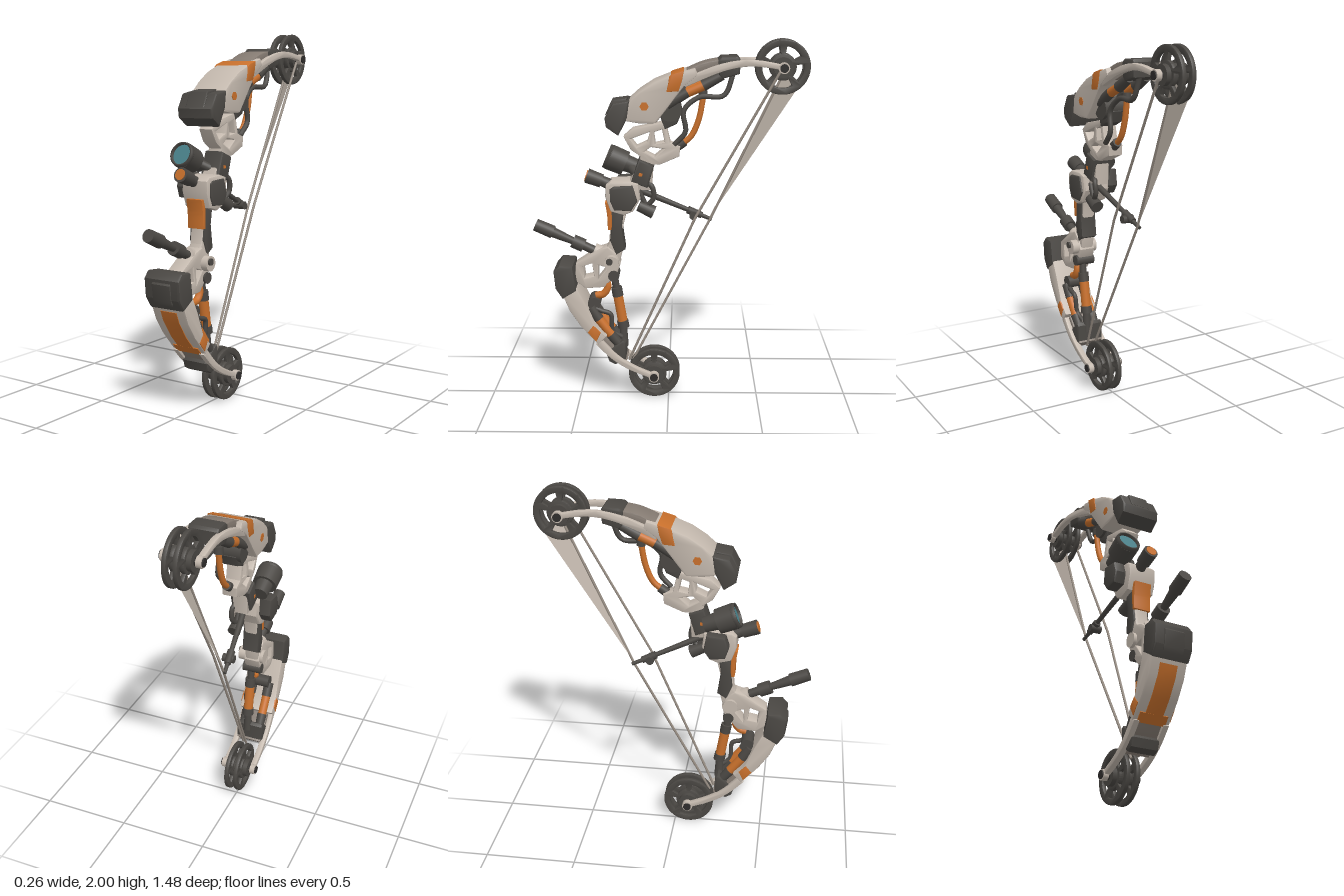
import * as THREE from 'three';
import { toCreasedNormals } from 'three/addons/utils/BufferGeometryUtils.js';

const mat = (name, color, opts = {}) => Object.assign(new THREE.MeshStandardMaterial({ color, ...opts }), { name });

export function createModel() {
  const light = mat('warm light grey', 0xc4b9ae, { side: THREE.DoubleSide });
  const dark = mat('charcoal', 0x4b4844);
  const orange = mat('orange', 0xc8702c);
  const limb = mat('limb brown grey', 0x857b72);
  const teal = mat('lens teal', 0x4a828b);
  const black = mat('axle black', 0x2f2d2c);
  const cord = mat('cord grey', 0x968c82);

  const bow = new THREE.Group();
  bow.name = 'compoundBow';
  const C = 0.0155; // middle plane of the bow in x

  const add = (name, geo, m) => {
    const mesh = new THREE.Mesh(geo, m);
    mesh.name = name;
    bow.add(mesh);
    return mesh;
  };
  const v = (x, y, z) => new THREE.Vector3(x, y, z);
  const v2 = pts => pts.map(p => new THREE.Vector2(p[0], p[1]));

  // Side profile of [z, y] points, extruded across x about centre cx
  const side = (name, pts, width, m, { cx = C, bevel = 0.012, holes = [] } = {}) => {
    const shape = new THREE.Shape(v2(pts));
    for (const h of holes) shape.holes.push(new THREE.Path(v2(h)));
    const geo = new THREE.ExtrudeGeometry(shape, {
      depth: width - 2 * bevel, bevelEnabled: bevel > 0, bevelThickness: bevel,
      bevelSize: bevel, bevelOffset: -bevel, bevelSegments: 2, curveSegments: 10,
    });
    geo.translate(0, 0, -(width - 2 * bevel) / 2);
    geo.rotateY(-Math.PI / 2);
    geo.translate(cx, 0, 0);
    return add(name, toCreasedNormals(geo, 0.6), m);
  };

  // Profile of a bent strip that follows [z, y] points with thickness t0 to t1
  const strip = (pts, t0, t1, n = 12) => {
    const curve = new THREE.SplineCurve(v2(pts)), a = [], b = [];
    for (let i = 0; i <= n; i++) {
      const u = i / n, p = curve.getPoint(u), t = curve.getTangent(u), h = (t0 + (t1 - t0) * u) / 2;
      a.push([p.x - t.y * h, p.y + t.x * h]);
      b.unshift([p.x + t.y * h, p.y - t.x * h]);
    }
    return a.concat(b);
  };

  // Round bar from a to b, both [x, y, z]
  const bar = (name, a, b, r0, r1, m, seg = 20) => {
    const A = v(...a), B = v(...b), d = B.clone().sub(A);
    const mesh = add(name, new THREE.CylinderGeometry(r1, r0, d.length(), seg), m);
    mesh.position.copy(A).add(B).multiplyScalar(0.5);
    mesh.quaternion.setFromUnitVectors(v(0, 1, 0), d.normalize());
    return mesh;
  };
  const hose = (name, pts, r, m) =>
    add(name, new THREE.TubeGeometry(new THREE.CatmullRomCurve3(pts.map(p => v(...p))), 28, r, 10), m);
  const across = (name, z, y, x0, x1, r, m) => bar(name, [x0, y, z], [x1, y, z], r, r, m, 28);

  // Wheels: two spoked discs on a hub and axle
  const ringSector = (r0, r1, a0, a1) => {
    const p = new THREE.Path();
    p.absarc(0, 0, r1, a0, a1, false);
    p.absarc(0, 0, r0, a1, a0, true);
    p.closePath();
    return p;
  };
  for (const [label, z, y] of [['upper', -0.595, 1.857], ['lower', 0.08, 0.143]]) {
    for (const x of [-0.0125, 0.0435]) {
      const s = new THREE.Shape();
      s.absarc(0, 0, 0.143, 0, Math.PI * 2, false);
      for (let i = 0; i < 5; i++) {
        const a = 0.3 + i * Math.PI * 0.4;
        s.holes.push(ringSector(0.07, 0.108, a + 0.18, a + Math.PI * 0.4 - 0.18));
      }
      const g = new THREE.ExtrudeGeometry(s, { depth: 0.014, bevelThickness: 0.005, bevelSize: 0.005, bevelOffset: -0.005, bevelSegments: 2, curveSegments: 40 });
      g.translate(0, 0, -0.007).rotateY(-Math.PI / 2).translate(x, y, z);
      add(label + 'WheelDisc', toCreasedNormals(g, 0.6), dark);
    }
    across(label + 'WheelHub', z, y, C - 0.065, C + 0.065, 0.052, dark);
    across(label + 'Axle', z, y, C - 0.111, C + 0.111, 0.022, black);
    for (const s of [-1, 1]) across(label + 'AxleCap', z, y, C + s * 0.075, C + s * 0.104, 0.029, light);
  }

  // Upper limb
  side('upperArmour', [[0.235, 1.585], [0.215, 1.68], [0.153, 1.735], [0.074, 1.786], [-0.02, 1.823], [-0.138, 1.857],
    [-0.155, 1.82], [-0.085, 1.767], [-0.04, 1.71], [0.005, 1.65], [0.065, 1.572], [0.15, 1.57]], 0.212, light);
  side('upperStripe', [[-0.005, 1.814], [-0.02, 1.826], [-0.08, 1.844], [-0.07, 1.79], [-0.053, 1.74], [0.01, 1.735], [0, 1.78]], 0.218, orange, { bevel: 0.003 });
  for (const s of [-1, 1]) {
    const patch = [0, 1, 2, 3, 4, 5].map(i => [0.125 + 0.024 * Math.cos(i * Math.PI / 3), 1.66 + 0.024 * Math.sin(i * Math.PI / 3)]);
    side('upperArmourPatch', patch, 0.005, orange, { cx: C + s * 0.106, bevel: 0 });
  }
  side('upperLimbCap', [[0.332, 1.598], [0.29, 1.675], [0.2, 1.69], [0.212, 1.6], [0.262, 1.506], [0.325, 1.55]], 0.222, dark);
  side('upperCapPanel', [[0.334, 1.605], [0.297, 1.686], [0.215, 1.697], [0.22, 1.66], [0.28, 1.64]], 0.115, dark, { bevel: 0.006 });
  side('upperLimbPlate', strip([[-0.08, 1.805], [-0.2, 1.86], [-0.33, 1.882]], 0.06, 0.045), 0.15, limb, { bevel: 0.006 });
  side('upperLimbBlock', [[-0.255, 1.895], [-0.275, 1.912], [-0.36, 1.915], [-0.372, 1.9], [-0.37, 1.825], [-0.28, 1.8], [-0.262, 1.82]], 0.162, dark);

  // Lower limb
  side('lowerArmour', [[0.58, 0.63], [0.5, 0.67], [0.452, 0.573], [0.4, 0.44], [0.34, 0.385], [0.386, 0.334], [0.48, 0.44], [0.54, 0.53]], 0.212, light);
  side('lowerStripe', [[0.444, 0.41], [0.398, 0.356], [0.372, 0.408], [0.412, 0.45]], 0.217, orange, { bevel: 0.003 });
  side('lowerFrontPanel', [[0.566, 0.585], [0.543, 0.528], [0.483, 0.437], [0.389, 0.331], [0.37, 0.35], [0.46, 0.45], [0.52, 0.54], [0.545, 0.59]], 0.1, orange, { bevel: 0 });
  side('lowerFrontBand', [[0.425, 0.371], [0.389, 0.33], [0.37, 0.345], [0.41, 0.395]], 0.16, orange, { bevel: 0 });
  side('lowerLimbCap', [[0.624, 0.76], [0.592, 0.796], [0.519, 0.79], [0.498, 0.65], [0.577, 0.602], [0.615, 0.66]], 0.222, dark, { bevel: 0.014 });
  side('lowerCapPanel', [[0.63, 0.735], [0.622, 0.745], [0.6, 0.73], [0.59, 0.65], [0.606, 0.628], [0.618, 0.65]], 0.115, dark, { bevel: 0.005 });
  side('lowerLimbPlate', strip([[0.365, 0.355], [0.31, 0.29], [0.24, 0.225]], 0.045, 0.04), 0.15, limb, { bevel: 0.006 });
  side('lowerLimbBlock', [[0.345, 0.27], [0.325, 0.3], [0.25, 0.355], [0.235, 0.34], [0.235, 0.24], [0.296, 0.207], [0.33, 0.225]], 0.16, dark);

  // Forked limb arms reaching the axles
  for (const s of [-1, 1]) {
    const o = { cx: C + s * 0.084, bevel: 0.006 };
    side('upperLimbArm', strip([[-0.08, 1.78], [-0.28, 1.86], [-0.44, 1.882], [-0.615, 1.855]], 0.045, 0.026), 0.034, light, o);
    side('lowerLimbArm', strip([[0.385, 0.35], [0.3, 0.262], [0.2, 0.195], [0.06, 0.136]], 0.042, 0.026), 0.034, light, o);
  }

  // Riser: upper truss, centre, throat and lower truss
  side('upperRiserTruss', [[0.238, 1.49], [0.19, 1.533], [0.016, 1.57], [-0.01, 1.459], [-0.063, 1.438], [-0.058, 1.385],
    [0.042, 1.342], [0.08, 1.34], [0.09, 1.2], [0.21, 1.2], [0.21, 1.25], [0.16, 1.33], [0.15, 1.385], [0.2, 1.42]], 0.085, light, {
    bevel: 0.008, holes: [
      [[0.2, 1.478], [0.098, 1.517], [0.112, 1.464], [0.168, 1.437]],
      [[0.078, 1.515], [0.034, 1.53], [0.02, 1.462], [0.07, 1.452]],
      [[0.128, 1.41], [0.095, 1.435], [0.025, 1.425], [0.074, 1.383]]],
  });
  side('riserCentre', [[0.31, 1.25], [0.21, 1.255], [0.16, 1.24], [0.15, 1.16], [0.19, 1.09], [0.24, 1.07], [0.31, 1.09], [0.338, 1.17], [0.335, 1.23]], 0.16, light);
  side('riserThroat', [[0.31, 1.12], [0.22, 1.1], [0.25, 0.98], [0.245, 0.88], [0.27, 0.78], [0.38, 0.82], [0.325, 0.9], [0.315, 1]], 0.08, light);
  side('lowerRiserTruss', [[0.508, 0.785], [0.455, 0.82], [0.39, 0.865], [0.33, 0.885], [0.286, 0.85], [0.262, 0.79], [0.28, 0.735], [0.307, 0.705],
    [0.35, 0.653], [0.455, 0.645], [0.515, 0.69]], 0.095, light, {
    bevel: 0.008, holes: [
      [[0.47, 0.772], [0.418, 0.79], [0.408, 0.716], [0.46, 0.705]],
      [[0.385, 0.78], [0.335, 0.765], [0.385, 0.7]]],
  });
  across('lowerRiserPivot', 0.31, 0.8, C - 0.065, C + 0.085, 0.04, light);
  side('riserCover', [[0.158, 1.372], [0.075, 1.34], [0.112, 1.215], [0.2, 1.248]], 0.12, dark);
  side('riserCoverMark', [[0.156, 1.3], [0.137, 1.297], [0.14, 1.28], [0.159, 1.283]], 0.124, orange, { bevel: 0 });
  side('centrePanel', [[0.312, 1.215], [0.29, 1.23], [0.19, 1.235], [0.165, 1.15], [0.2, 1.095], [0.29, 1.1], [0.312, 1.15]], 0.03, dark, { cx: 0.09, bevel: 0.008 });
  side('sightBlock', [[0.28, 1.25], [0.18, 1.26], [0.165, 1.17], [0.2, 1.12], [0.28, 1.13], [0.3, 1.19]], 0.07, dark, { cx: -0.095 });

  // Grip
  side('grip', [[0.312, 1.09], [0.235, 1.11], [0.252, 0.997], [0.235, 0.87], [0.286, 0.838], [0.318, 0.918], [0.309, 0.997]], 0.098, dark);
  side('gripFront', strip([[0.327, 1.135], [0.318, 1.06], [0.318, 0.98]], 0.03, 0.02), 0.1, orange, { bevel: 0.004 });

  // Scope with a hollow rim, tilted with the bow
  const sx = -0.068;
  bar('scopeHead', [sx, 1.358, 0.322], [sx, 1.322, 0.236], 0.07, 0.067, dark, 32);
  bar('scopeLens', [sx, 1.36, 0.327], [sx, 1.357, 0.32], 0.056, 0.056, teal, 32);
  const rim = [[0.054, 0], [0.07, 0], [0.066, 0.022], [0.056, 0.022], [0.054, 0]];
  const scopeRim = add('scopeRim', new THREE.LatheGeometry(v2(rim), 32), dark);
  scopeRim.position.set(sx, 1.357, 0.319);
  scopeRim.rotation.x = Math.PI / 2 - 0.4;
  bar('scopeBody', [sx, 1.328, 0.24], [sx, 1.298, 0.165], 0.048, 0.042, dark, 24);
  bar('scopeMount', [sx, 1.32, 0.22], [C, 1.27, 0.16], 0.025, 0.025, dark);

  // Lower sight tube
  bar('sightTubeHead', [0.005, 1.27, 0.442], [0.005, 1.24, 0.362], 0.04, 0.037, dark, 24);
  bar('sightTubeLens', [0.005, 1.272, 0.447], [0.005, 1.27, 0.441], 0.029, 0.029, orange, 24);
  bar('sightTubeBody', [0.005, 1.245, 0.37], [0.005, 1.2, 0.27], 0.028, 0.034, dark, 24);

  // Stabiliser
  const stab = (name, z0, y0, z1, y1, r0, r1, m) => bar(name, [0.02, y0, z0], [0.02, y1, z1], r0, r1, m, 24);
  stab('stabiliserHead', 0.727, 0.998, 0.632, 0.956, 0.034, 0.036, dark);
  stab('stabiliserTaper', 0.64, 0.959, 0.52, 0.905, 0.029, 0.019, dark);
  stab('stabiliserCollar', 0.525, 0.907, 0.465, 0.88, 0.037, 0.037, dark);
  stab('stabiliserRod', 0.47, 0.883, 0.38, 0.84, 0.024, 0.024, dark);
  stab('stabiliserSocket', 0.41, 0.855, 0.31, 0.81, 0.04, 0.042, light);
  across('stabiliserBolt', 0.32, 0.812, 0.09, 0.112, 0.018, dark);

  // Cable guard, roller and knob
  hose('cableGuardStem', [[0.04, 1.24, 0.13], [0.06, 1.225, 0.09], [0.06, 1.16, 0.08], [0.05, 1.11, 0.12]], 0.014, dark);
  bar('cableGuard', [0.02, 1.2, 0.17], [-0.03, 1.02, -0.235], 0.018, 0.01, dark);
  bar('cableGuardSleeve', [-0.014, 1.077, -0.105], [-0.023, 1.045, -0.18], 0.022, 0.018, dark);
  across('cableRoller', -0.135, 1.05, -0.045, 0.02, 0.022, dark);
  bar('guardKnob', [0.05, 1.115, 0.16], [0.05, 1.078, 0.08], 0.03, 0.036, dark);
  bar('guardKnobStem', [0.05, 1.09, 0.11], [0.05, 1.2, 0.16], 0.014, 0.014, dark);

  // Pistons and hoses of the upper limb
  across('upperJoint', -0.01, 1.635, C - 0.065, C + 0.065, 0.06, dark);
  side('upperJointArm', [[0.05, 1.62], [-0.045, 1.69], [-0.07, 1.62], [-0.045, 1.56], [0.02, 1.53]], 0.1, dark);
  for (const s of [-1, 1]) {
    const x = C + s * 0.05;
    bar('upperPistonBase', [x, 1.665, 0.01], [x, 1.728, -0.1], 0.032, 0.026, dark);
    bar('upperPiston', [x, 1.722, -0.09], [x, 1.765, -0.19], 0.025, 0.025, orange);
    bar('upperPistonSleeve', [x, 1.762, -0.18], [x, 1.815, -0.28], 0.03, 0.024, dark);
    // Pistons of the lower limb
    bar('lowerPistonBase', [x, 0.54, 0.43], [x, 0.47, 0.385], 0.028, 0.028, dark);
    bar('lowerPiston', [x, 0.475, 0.39], [x, 0.375, 0.315], 0.025, 0.025, orange);
    bar('lowerPistonSleeve', [x, 0.38, 0.32], [x, 0.31, 0.265], 0.029, 0.024, dark);
  }
  hose('upperDarkHose', [[0.06, 1.45, -0.03], [0.065, 1.52, -0.09], [0.06, 1.63, -0.08], [0.05, 1.7, -0.16], [0.05, 1.71, -0.29], [0.04, 1.83, -0.34]], 0.014, dark);
  hose('upperOrangeHose', [[0.02, 1.44, -0.06], [0.02, 1.49, -0.12], [0.02, 1.58, -0.16], [0.02, 1.7, -0.183]], 0.016, orange);
  bar('upperHoseCollar', [0.02, 1.42, -0.03], [0.02, 1.46, -0.085], 0.025, 0.025, dark);
  bar('upperHoseFitting', [0.02, 1.69, -0.183], [0.02, 1.73, -0.18], 0.024, 0.024, dark);

  // Main shock and hoses of the lower limb
  bar('shockTop', [0.03, 0.72, 0.3], [0.03, 0.61, 0.285], 0.02, 0.02, dark);
  across('shockPivot', 0.3, 0.72, C - 0.05, C + 0.06, 0.03, dark);
  bar('shockCollar', [0.03, 0.645, 0.288], [0.03, 0.595, 0.28], 0.03, 0.03, dark);
  bar('shock', [0.03, 0.6, 0.281], [0.03, 0.44, 0.255], 0.027, 0.027, orange);
  bar('shockFoot', [0.03, 0.45, 0.257], [0.03, 0.41, 0.25], 0.032, 0.032, dark);
  bar('shockRod', [0.03, 0.42, 0.252], [0.03, 0.3, 0.25], 0.02, 0.026, dark);
  hose('lowerOrangeHose', [[0.04, 0.6, 0.4], [0.045, 0.61, 0.36], [0.045, 0.65, 0.335], [0.04, 0.7, 0.345]], 0.02, orange);
  hose('lowerDarkHose', [[0.06, 0.55, 0.44], [0.07, 0.52, 0.37], [0.07, 0.5, 0.32], [0.06, 0.4, 0.31], [0.05, 0.36, 0.26]], 0.013, dark);
  across('lowerJoint', 0.41, 0.56, C - 0.06, C + 0.06, 0.035, dark);

  // Cables and the tapering web behind the guard
  bar('sideCableUpper', [0.085, 1.84, -0.58], [0.075, 1.056, -0.145], 0.007, 0.007, cord, 8);
  bar('sideCableLower', [0.075, 1.056, -0.145], [0.045, 0.22, 0.22], 0.007, 0.007, cord, 8);
  bar('mainCableUpper', [0.0155, 1.83, -0.605], [-0.02, 1.02, -0.225], 0.007, 0.007, cord, 8);
  bar('mainCableLower', [-0.02, 1.02, -0.225], [0.0155, 0.21, 0.2], 0.007, 0.007, cord, 8);
  const web = new THREE.BufferGeometry();
  web.setAttribute('position', new THREE.Float32BufferAttribute([0.02, 1.83, -0.605, -0.015, 1.755, -0.69, -0.025, 1.03, -0.225], 3));
  web.computeVertexNormals();
  add('cableWeb', web, light);

  return bow;
}
